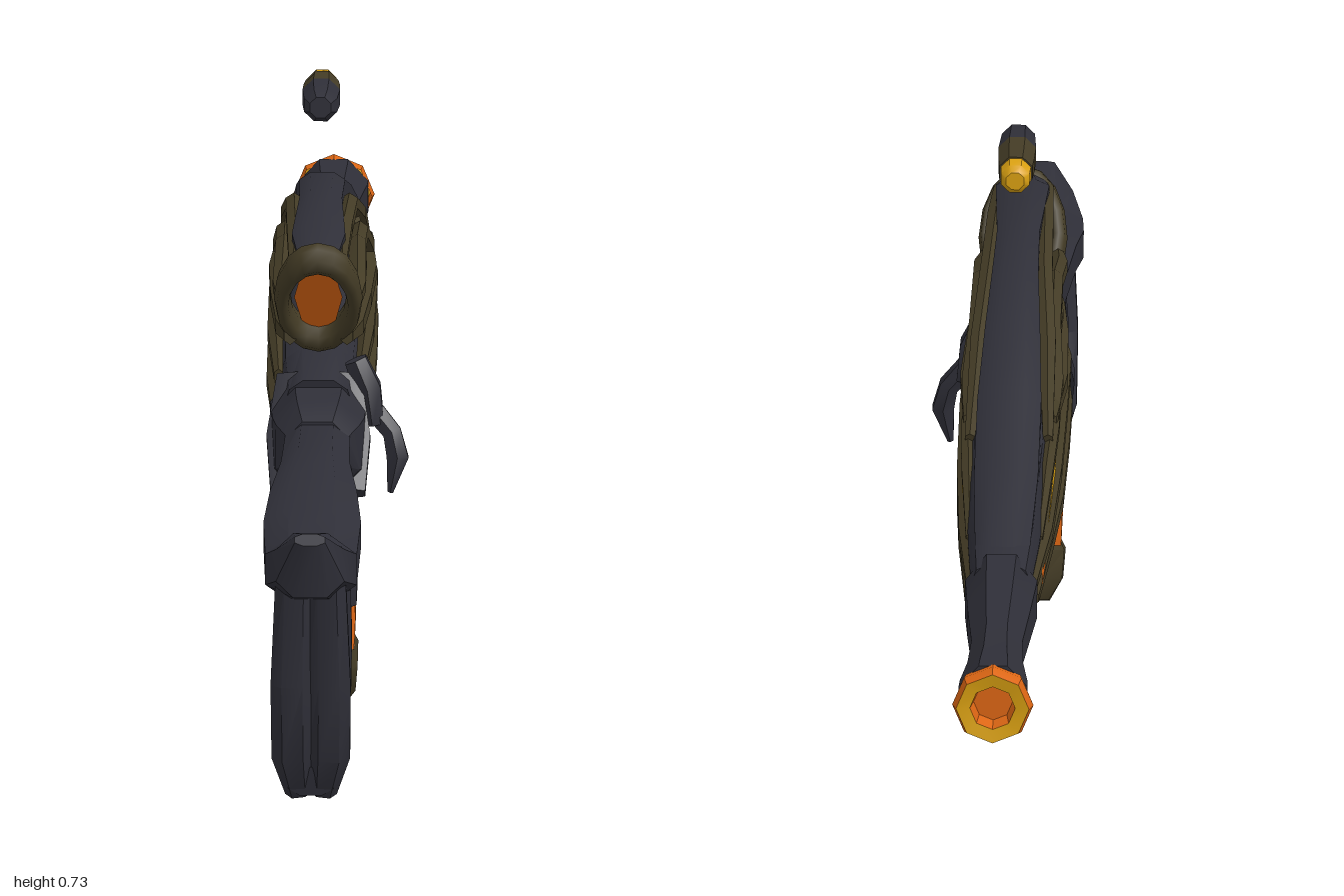
import * as THREE from 'three';
import { toCreasedNormals } from 'three/addons/utils/BufferGeometryUtils.js';

const CX = -0.02; // centre plane of the gun

export function createModel() {
  const root = new THREE.Group();
  root.name = 'rifle';
  const mat = (name, color, double) => {
    const m = new THREE.MeshStandardMaterial({ color });
    m.name = name;
    if (double) m.side = THREE.DoubleSide;
    return m;
  };
  const dark = mat('charcoal', 0x2f2f38);
  const olive = mat('dark olive', 0x443c26);
  const orange = mat('orange', 0xdc6614, true);
  const yellow = mat('amber', 0xd9a012, true);

  const add = (name, geo, m) => {
    const mesh = new THREE.Mesh(geo, m);
    mesh.name = name;
    root.add(mesh);
    return mesh;
  };

  // Loft through stations [z, y, x offset, half thickness, half width in x]
  function loft(name, stations, m, sides = 8, power = 0.8) {
    const pts = stations.map(([z, y, x]) => new THREE.Vector3(CX + x, y, z));
    const pos = [], idx = [];
    const se = v => Math.sign(v) * Math.pow(Math.abs(v), power);
    const n = pts.length;
    pts.forEach((p, i) => {
      const t = pts[Math.min(i + 1, n - 1)].clone().sub(pts[Math.max(i - 1, 0)]).normalize();
      const side = new THREE.Vector3(1, 0, 0).addScaledVector(t, -t.x).normalize();
      const up = t.clone().cross(side);
      for (let j = 0; j < sides; j++) {
        const a = (j + 0.5) / sides * Math.PI * 2;
        const v = p.clone().addScaledVector(side, se(Math.cos(a)) * stations[i][4])
          .addScaledVector(up, se(Math.sin(a)) * stations[i][3]);
        pos.push(v.x, v.y, v.z);
      }
    });
    for (let i = 0; i < n - 1; i++) for (let j = 0; j < sides; j++) {
      const k = (j + 1) % sides, a = i * sides, b = a + sides;
      idx.push(a + j, a + k, b + k, a + j, b + k, b + j);
    }
    for (let j = 1; j < sides - 1; j++) {
      const e = (n - 1) * sides;
      idx.push(0, j + 1, j, e, e + j, e + j + 1);
    }
    const g = new THREE.BufferGeometry();
    g.setAttribute('position', new THREE.Float32BufferAttribute(pos, 3));
    g.setIndex(idx);
    return add(name, toCreasedNormals(g, 0.65), m);
  }

  // Rail along both flanks, stations [z, y, x]
  function rails(name, path, r, w = r, m = olive) {
    for (const s of [1, -1]) loft(name, path.map(([z, y, x], i) => {
      const k = i === 0 || i === path.length - 1 ? 0.6 : 1;
      return [z, y, x * s, r * k, w * k];
    }), m, 6, 1);
  }

  // Thin glowing panel on both flanks, outline [z, y]
  function panels(name, outline, m) {
    for (const s of [1, -1]) {
      const pos = [];
      const p = ([z, y]) => [CX + s * (z > -0.3 ? 0.058 : 0.058 + (z + 0.3) * 0.035), y, z];
      for (let i = 1; i < outline.length - 1; i++) {
        const tri = [outline[0], outline[i], outline[i + 1]].map(p);
        pos.push(...tri[0], ...tri[1], ...tri[2]);
      }
      const g = new THREE.BufferGeometry();
      g.setAttribute('position', new THREE.Float32BufferAttribute(pos, 3));
      g.computeVertexNormals();
      add(name, g, m);
    }
  }

  // Receiver, rear collar and top spine
  loft('receiver', [
    [0.28, 0.335, 0, 0.07, 0.045], [0.2, 0.35, 0, 0.08, 0.052], [0.05, 0.37, 0, 0.08, 0.055],
    [-0.1, 0.39, 0, 0.085, 0.055], [-0.25, 0.41, 0, 0.088, 0.054], [-0.4, 0.408, 0, 0.068, 0.05],
    [-0.52, 0.395, 0, 0.055, 0.045], [-0.64, 0.39, 0, 0.046, 0.038]], dark, 12, 0.65);
  loft('collar', [
    [0.38, 0.33, 0, 0.04, 0.04], [0.35, 0.33, 0, 0.06, 0.055], [0.3, 0.325, 0, 0.068, 0.06],
    [0.25, 0.335, 0, 0.073, 0.064], [0.22, 0.34, 0, 0.05, 0.05]], dark);
  loft('collarBand', [
    [0.34, 0.27, 0, 0.016, 0.062], [0.29, 0.33, 0, 0.022, 0.068], [0.25, 0.4, 0, 0.016, 0.055]], dark);
  loft('topSpine', [
    [0.35, 0.562, 0, 0.012, 0.025], [0.28, 0.577, 0, 0.016, 0.035], [0.1, 0.585, 0, 0.017, 0.028],
    [-0.02, 0.582, 0, 0.02, 0.03], [-0.14, 0.55, 0, 0.024, 0.036], [-0.28, 0.505, 0, 0.028, 0.042],
    [-0.42, 0.455, 0, 0.03, 0.042], [-0.6, 0.415, 0, 0.025, 0.035]], dark);

  // Sight ring with its lens
  const ring = add('sightRing', new THREE.TorusGeometry(0.06, 0.014, 8, 16), olive);
  ring.scale.set(0.74, 1.27, 1.5);
  const lens = add('sightLens', new THREE.CircleGeometry(0.054, 8), orange);
  lens.scale.set(0.55, 1.2, 1);
  for (const m of [ring, lens]) {
    m.position.set(CX, 0.508, 0.3);
    m.rotation.x = 0.7;
  }

  // Open cage between the spine and the receiver
  rails('upperCageRail', [[0.33, 0.562, 0.03], [0.2, 0.575, 0.03], [0.02, 0.57, 0.034],
    [-0.12, 0.53, 0.042], [-0.3, 0.47, 0.048]], 0.013, 0.012);
  rails('middleCageRail', [[0.3, 0.49, 0.042], [0.21, 0.505, 0.047], [0.09, 0.532, 0.045],
    [-0.04, 0.522, 0.046], [-0.14, 0.485, 0.052], [-0.3, 0.445, 0.05]], 0.014, 0.012);
  rails('lowerCageRail', [[0.28, 0.455, 0.035], [0.2, 0.452, 0.042], [0.08, 0.462, 0.05],
    [-0.08, 0.465, 0.054], [-0.25, 0.475, 0.05]], 0.018, 0.014);
  rails('cageBrace', [[0.2, 0.505, 0.042], [0.1, 0.482, 0.045], [0.0, 0.495, 0.045],
    [-0.07, 0.54, 0.038]], 0.012);

  // Flank ribs and glowing panels
  rails('upperRib', [[0.23, 0.395, 0.05], [0.1, 0.422, 0.056], [-0.1, 0.432, 0.057],
    [-0.28, 0.418, 0.055], [-0.45, 0.402, 0.048], [-0.62, 0.4, 0.038]], 0.016, 0.011);
  rails('middleRib', [[0.25, 0.345, 0.052], [0.1, 0.363, 0.057], [-0.05, 0.37, 0.058],
    [-0.25, 0.37, 0.056], [-0.42, 0.38, 0.049], [-0.6, 0.375, 0.04]], 0.015, 0.011);
  rails('lowerRib', [[0.25, 0.295, 0.045], [0.1, 0.312, 0.05], [-0.06, 0.335, 0.052],
    [-0.25, 0.348, 0.05], [-0.5, 0.355, 0.04]], 0.013, 0.011, dark);
  rails('shoulderRib', [[-0.12, 0.45, 0.054], [-0.25, 0.465, 0.052], [-0.36, 0.452, 0.048],
    [-0.5, 0.415, 0.042]], 0.011, 0.01);
  panels('lowerGlow', [[0.23, 0.315], [0.2, 0.337], [0, 0.355], [-0.08, 0.36], [-0.02, 0.338]], yellow);
  panels('middleGlow', [[0.1, 0.38], [0.05, 0.407], [-0.1, 0.415], [-0.29, 0.407], [-0.2, 0.382]], yellow);
  panels('upperGlow', [[-0.25, 0.455], [-0.34, 0.45], [-0.45, 0.415], [-0.34, 0.412]], yellow);
  panels('frontGlow', [[-0.46, 0.387], [-0.57, 0.401], [-0.56, 0.378], [-0.5, 0.37]], orange);

  // Barrel and hollow muzzle
  loft('barrel', [
    [-0.49, 0.335, 0, 0.015, 0.028], [-0.55, 0.352, 0, 0.035, 0.042], [-0.63, 0.385, 0, 0.06, 0.048],
    [-0.72, 0.386, 0, 0.05, 0.042], [-0.81, 0.382, 0, 0.042, 0.034], [-0.88, 0.38, 0, 0.042, 0.037],
    [-0.95, 0.38, 0, 0.049, 0.045], [-0.972, 0.38, 0, 0.05, 0.046]], dark, 8, 1);
  const lathe = (pts) => toCreasedNormals(new THREE.LatheGeometry(
    pts.map(p => new THREE.Vector2(...p)), 8).rotateX(-Math.PI / 2), 0.6);
  add('muzzleRing', lathe([[0.047, 0.968], [0.05, 0.985], [0.045, 1]]), orange).position.set(CX, 0.38, 0);
  add('muzzleLip', lathe([[0.045, 1], [0.028, 0.997]]), yellow).position.set(CX, 0.38, 0);
  add('muzzleBore', lathe([[0.028, 0.997], [0.024, 0.974], [0, 0.974]]), orange).position.set(CX, 0.38, 0);

  // Skeleton stock
  loft('stockTop', [
    [0.995, 0.343, 0, 0.01, 0.02], [0.965, 0.305, 0, 0.045, 0.045], [0.9, 0.287, 0, 0.042, 0.06],
    [0.8, 0.311, 0, 0.036, 0.064], [0.7, 0.33, 0, 0.034, 0.057], [0.55, 0.337, 0, 0.032, 0.045],
    [0.34, 0.333, 0, 0.032, 0.042]], dark);
  for (const s of [1, -1]) loft('stockRearStrut', [
    [0.935, 0.28, 0.02 * s, 0.025, 0.025], [0.93, 0.15, 0.023 * s, 0.021, 0.028],
    [0.91, 0.06, 0.022 * s, 0.03, 0.028], [0.89, 0.012, 0.015 * s, 0.025, 0.018]], dark);
  loft('stockLowerBar', [
    [0.92, 0.025, 0, 0.02, 0.03], [0.86, 0.038, 0, 0.028, 0.042], [0.72, 0.095, 0, 0.027, 0.04],
    [0.62, 0.13, 0, 0.026, 0.038], [0.4, 0.145, 0, 0.028, 0.036]], dark);
  for (const s of [1, -1]) loft('stockDiagonal', [
    [0.73, 0.3, 0.02 * s, 0.022, 0.02], [0.81, 0.2, 0.023 * s, 0.017, 0.02],
    [0.87, 0.04, 0.02 * s, 0.022, 0.02]], dark, 6);
  loft('stockBrace', [
    [0.76, 0.29, 0, 0.02, 0.032], [0.71, 0.2, 0, 0.021, 0.032], [0.64, 0.12, 0, 0.03, 0.034]], dark);

  // Pistol grip with glowing insert
  loft('grip', [
    [0.35, 0.3, 0, 0.06, 0.045], [0.375, 0.24, 0, 0.072, 0.05], [0.39, 0.19, 0, 0.07, 0.052],
    [0.385, 0.15, 0, 0.07, 0.052]], dark);
  loft('gripBack', [
    [0.43, 0.17, 0, 0.028, 0.045], [0.425, 0.1, 0, 0.025, 0.046], [0.4, 0.05, 0, 0.035, 0.045]], dark);
  loft('gripInsert', [
    [0.355, 0.162, 0, 0.052, 0.048], [0.355, 0.12, 0, 0.054, 0.05], [0.36, 0.08, 0, 0.05, 0.048]], orange);
  loft('gripBase', [
    [0.375, 0.1, 0, 0.06, 0.04], [0.365, 0.075, 0, 0.07, 0.053], [0.355, 0.04, 0, 0.06, 0.05],
    [0.345, 0.015, 0, 0.045, 0.033]], olive);

  // Hooked guard below the receiver
  loft('guard', [
    [-0.24, 0.34, 0, 0.03, 0.035], [-0.12, 0.285, 0, 0.036, 0.034], [-0.05, 0.235, 0, 0.03, 0.03],
    [-0.01, 0.18, 0, 0.022, 0.026], [0.03, 0.143, 0, 0.018, 0.024], [0.09, 0.13, 0, 0.016, 0.022],
    [0.16, 0.15, 0, 0.008, 0.014]], dark);
  loft('guardRoot', [
    [0.1, 0.31, 0, 0.015, 0.04], [-0.05, 0.3, 0, 0.025, 0.045], [-0.2, 0.32, 0, 0.025, 0.045],
    [-0.45, 0.345, 0, 0.02, 0.035]], dark);

  // Bolt handle on the left flank
  loft('boltRoot', [
    [0.25, 0.42, 0.045, 0.015, 0.015], [0.25, 0.385, 0.06, 0.025, 0.018],
    [0.25, 0.34, 0.066, 0.02, 0.016]], dark, 6);
  loft('boltHandle', [
    [0.25, 0.36, 0.065, 0.012, 0.014], [0.255, 0.33, 0.09, 0.014, 0.013],
    [0.26, 0.3, 0.097, 0.015, 0.015], [0.26, 0.257, 0.088, 0.01, 0.004]], dark, 6);

  // Floating cartridge
  const round = (name, pts, m) => loft(name, pts.map(([z, r]) => [z, 0.71, 0, r, r]), m, 8, 1);
  round('cartridgeCase', [[0.122, 0.014], [0.105, 0.022], [0.055, 0.025]], dark);
  round('cartridgeBand', [[0.055, 0.025], [0.02, 0.024], [-0.008, 0.022]], olive);
  round('cartridgeTip', [[-0.008, 0.02], [-0.03, 0.019], [-0.038, 0.012]], yellow);

  return root;
}
